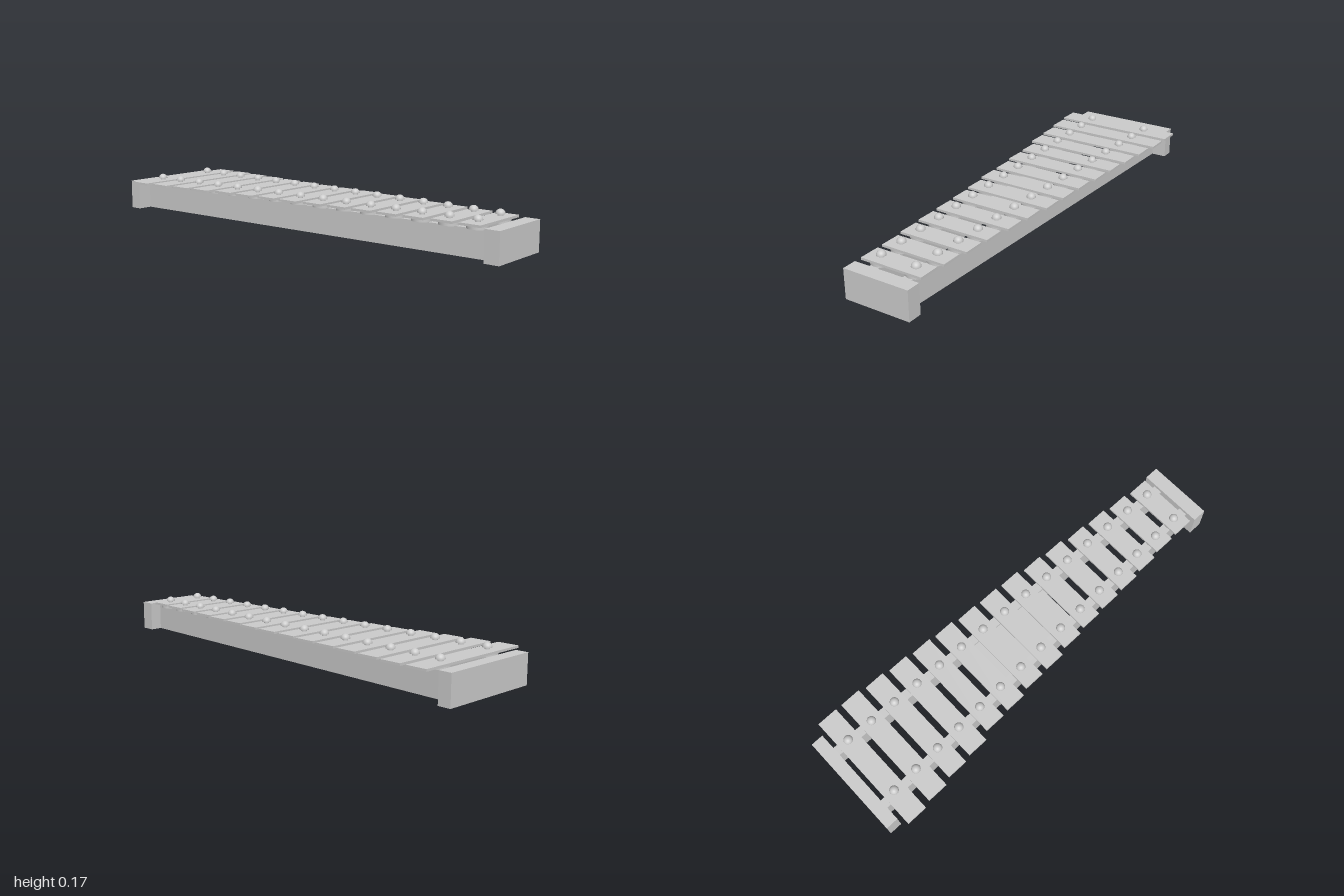
import * as THREE from 'three';

const material = new THREE.MeshStandardMaterial({ color: 0xcccccc });

function add(parent, name, geometry, x = 0, y = 0, z = 0) {
  const mesh = new THREE.Mesh(geometry, material);
  mesh.name = name;
  mesh.position.set(x, y, z);
  parent.add(mesh);
  return mesh;
}

// Box given by its limits on each axis
function block(parent, name, x0, x1, y0, y1, z0, z1) {
  const box = new THREE.BoxGeometry(x1 - x0, y1 - y0, z1 - z0);
  return add(parent, name, box, (x0 + x1) / 2, (y0 + y1) / 2, (z0 + z1) / 2);
}

// Flat outline in x and z, raised from y0 to y1
function slab(parent, name, outline, y0, y1) {
  const shape = new THREE.Shape(outline.map(([x, z]) => new THREE.Vector2(x, -z)));
  const geometry = new THREE.ExtrudeGeometry(shape, { depth: y1 - y0, bevelEnabled: false });
  geometry.rotateX(-Math.PI / 2);
  return add(parent, name, geometry, 0, y0, 0);
}

export function createModel() {
  const model = new THREE.Group();
  model.name = 'xylophone';

  // End blocks
  block(model, 'wideEndBlock', -1, -0.943, 0, 0.132, -0.242, 0.24);
  block(model, 'narrowEndBlock', 0.935, 1, 0, 0.132, -0.154, 0.151);

  // Converging side rails
  const xa = -0.943, xb = 0.935;
  const inner = (x) => THREE.MathUtils.mapLinear(x, xa, xb, 0.132, 0.058);
  const width = 0.042;
  for (const side of [1, -1]) {
    slab(model, side > 0 ? 'frontRail' : 'backRail', [
      [xa, side * inner(xa)], [xb, side * inner(xb)],
      [xb, side * (inner(xb) + width)], [xa, side * (inner(xa) + width)],
    ], 0, 0.116);
  }

  // Centre brace between the rails
  const b0 = -0.21, b1 = 0.2;
  slab(model, 'centreBrace', [
    [b0, inner(b0)], [b1, inner(b1)], [b1, -inner(b1)], [b0, -inner(b0)],
  ], 0.035, 0.105);

  // Sound bars, each on two round pads and held by two domed screws
  const backEnds = [0.288, 0.286, 0.273, 0.262, 0.251, 0.243, 0.23, 0.225, 0.219, 0.203, 0.193, 0.176, 0.168, 0.155, 0.145];
  const frontEnds = [0.287, 0.275, 0.259, 0.249, 0.222, 0.217, 0.203, 0.2, 0.184, 0.174, 0.168, 0.163, 0.155, 0.144, 0.142];
  const pad = new THREE.CylinderGeometry(0.044, 0.044, 0.015, 32);
  const stem = new THREE.CylinderGeometry(0.011, 0.011, 0.012, 20);
  const dome = new THREE.SphereGeometry(0.02, 24, 10, 0, Math.PI * 2, 0, Math.PI / 2);
  const domeBase = new THREE.CircleGeometry(0.02, 24).rotateX(Math.PI / 2);
  for (let i = 0; i < 15; i++) {
    const x = -0.876 + i * 0.1243;
    const note = new THREE.Group();
    note.name = `note${i + 1}`;
    block(note, 'bar', x - 0.048, x + 0.048, 0.13, 0.14, -backEnds[i], frontEnds[i]);
    for (const z of [0.145 - i * 0.0045, -0.148 + i * 0.0045]) {
      add(note, 'pad', pad, x, 0.1225, z);
      add(note, 'screwStem', stem, x, 0.145, z);
      add(note, 'screwHead', dome, x, 0.147, z);
      add(note, 'screwHeadBase', domeBase, x, 0.147, z);
    }
    model.add(note);
  }
  return model;
}
